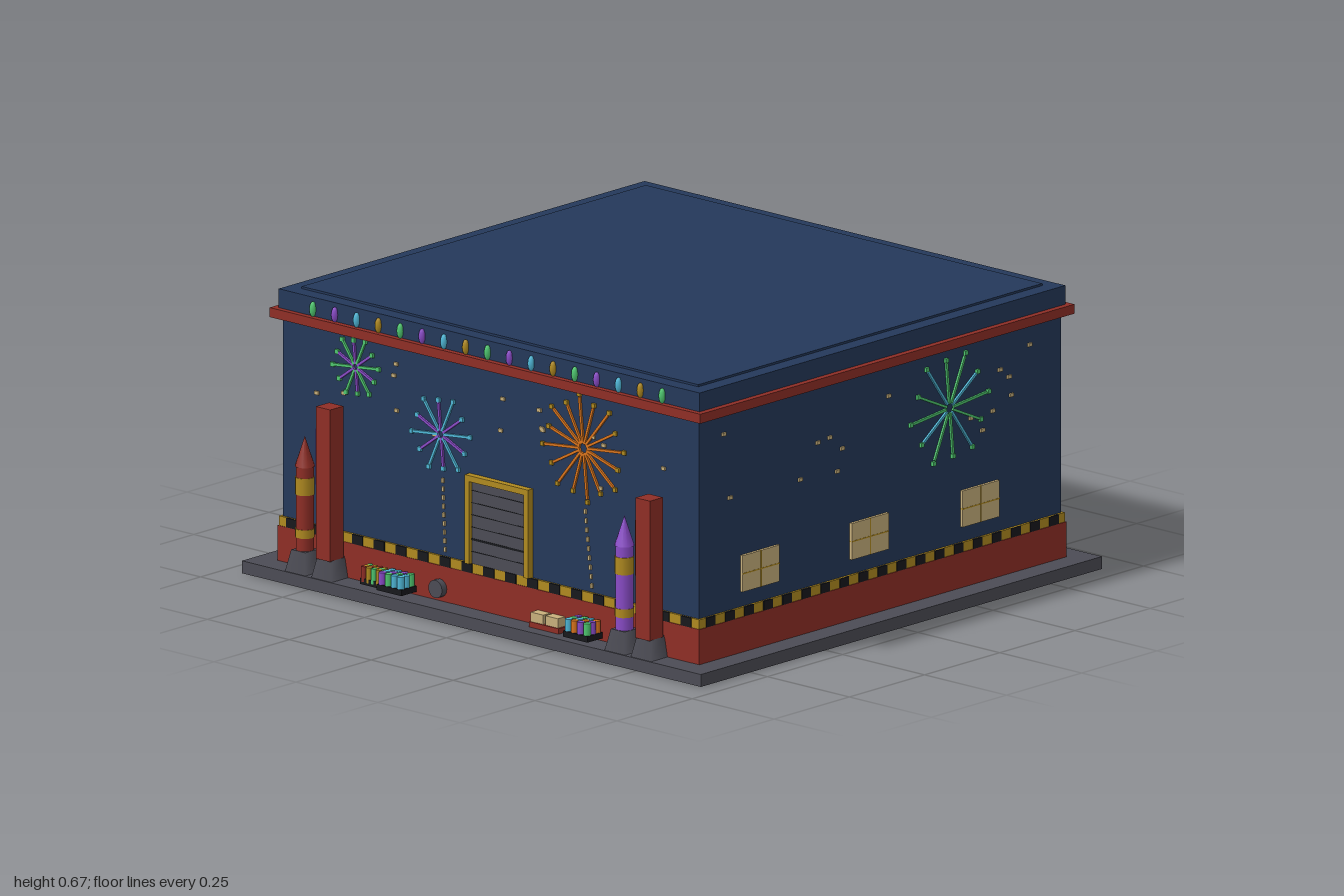
import * as THREE from 'three';

const mat = (name, color) => {
  const m = new THREE.MeshStandardMaterial({ color });
  m.name = name;
  return m;
};
const M = {
  navy: mat('navy', 0x24385a), red: mat('brickRed', 0x8f2e26), grey: mat('slateGrey', 0x4c4c55),
  gold: mat('gold', 0xb08a20), black: mat('black', 0x17181c), cream: mat('cream', 0xc8b07c),
  orange: mat('orange', 0xd9741c), cyan: mat('cyan', 0x4fb8d8), green: mat('green', 0x4fc870),
  purple: mat('purple', 0x8a4cc8),
};

function add(parent, name, geo, material, x, y, z) {
  const mesh = new THREE.Mesh(geo, material);
  mesh.name = name;
  mesh.position.set(x, y, z);
  parent.add(mesh);
  return mesh;
}
const box = (p, name, m, w, h, d, x, y, z) => add(p, name, new THREE.BoxGeometry(w, h, d), m, x, y, z);
// Box given by its bottom and top heights
const tier = (p, name, m, hx, hz, y0, y1) => box(p, name, m, 2 * hx, y1 - y0, 2 * hz, 0, (y0 + y1) / 2, 0);

function group(parent, name) {
  const g = new THREE.Group();
  g.name = name;
  parent.add(g);
  return g;
}

function seeded(seed) {
  let s = seed;
  return () => (s = (s * 16807) % 2147483647) / 2147483647;
}

// Painted starburst: thin rays with a dot at each tip
function burst(wall, x, y, r, colours, tip, rays = 12) {
  const g = group(wall, 'fireworkBurst');
  g.position.set(x, y, 0.003);
  for (let i = 0; i < rays; i++) {
    const a = (i / rays) * Math.PI * 2 + 0.1;
    const len = r * (i % 2 ? 0.88 : 1);
    const ray = box(g, 'burstRay', M[colours[i % colours.length]], len * 0.85, 0.006, 0.005,
      Math.cos(a) * len * 0.52, Math.sin(a) * len * 0.52, 0);
    ray.rotation.z = a;
    box(g, 'burstTip', M[tip], 0.01, 0.01, 0.007, Math.cos(a) * len, Math.sin(a) * len, 0);
  }
}

// Dotted launch trail below a burst
function trail(wall, x0, y0, x1, y1) {
  for (let i = 0; i < 9; i++) {
    const t = i / 8;
    box(wall, 'trailDot', M.cream, 0.006, 0.011, 0.005, x0 + (x1 - x0) * t, y0 + (y1 - y0) * t, 0.002);
  }
}

// Tapered mortar foot
function foot(parent, x) {
  const f = add(parent, 'stand', new THREE.CylinderGeometry(0.03, 0.044, 0.05, 4, 1).rotateY(Math.PI / 4),
    M.grey, x, 0.055, 0.633);
  return f;
}

// Slim rocket with a nose cone and bands
function rocket(parent, x, body, band) {
  const g = group(parent, 'rocket');
  foot(g, x);
  const ring = (name, m, r, y0, y1) =>
    add(g, name, new THREE.CylinderGeometry(r, r, y1 - y0, 12), m, x, (y0 + y1) / 2, 0.632);
  ring('rocketBody', body, 0.021, 0.075, 0.275);
  ring('rocketBand', band, 0.0225, 0.21, 0.25);
  ring('rocketBand', band, 0.0225, 0.11, 0.13);
  add(g, 'noseCone', new THREE.ConeGeometry(0.023, 0.07, 12), body, x, 0.31, 0.632);
}

// Tall launch post with a coloured strip beside it
function post(parent, x, top, strip) {
  const g = group(parent, 'launchPost');
  foot(g, x);
  box(g, 'postBody', M.red, 0.044, top - 0.075, 0.044, x, (top + 0.075) / 2, 0.637);
  box(g, 'postStrip', M[strip], 0.009, 0.13, 0.03, x - 0.025, top - 0.12, 0.637);
  box(g, 'postLabel', M.cream, 0.006, 0.05, 0.02, x - 0.025, 0.24, 0.637);
}

// Low battery of coloured tubes
function battery(parent, x, width, z, depth, colours) {
  const g = group(parent, 'tubeBattery');
  box(g, 'batteryTray', M.black, width, 0.014, depth, x, 0.045, z);
  const n = colours.length, step = width / n;
  for (let i = 0; i < n; i++)
    for (let j = -1; j <= 1; j++)
      add(g, 'batteryTube', new THREE.CylinderGeometry(step * 0.46, step * 0.46, 0.036, 8),
        M[colours[(i + j + n) % n]], x + (i - (n - 1) / 2) * step, 0.062, z + j * depth * 0.32);
}

export function createModel() {
  const model = new THREE.Group();
  model.name = 'fireworksShop';

  // Stacked shell
  tier(model, 'pavingSlab', M.grey, 0.7, 0.667, 0.001, 0.03);
  tier(model, 'floor', M.navy, 0.635, 0.602, 0, 0.02);
  tier(model, 'walls', M.navy, 0.635, 0.602, 0.025, 0.6);
  tier(model, 'plinth', M.red, 0.643, 0.61, 0.03, 0.112);
  tier(model, 'warningBand', M.gold, 0.641, 0.608, 0.112, 0.134);
  tier(model, 'cornice', M.red, 0.657, 0.622, 0.598, 0.62);
  tier(model, 'parapet', M.navy, 0.642, 0.608, 0.62, 0.664);
  tier(model, 'roofCap', M.navy, 0.605, 0.572, 0.66, 0.669);

  // Each wall group has its own x along the wall and z outwards
  const specs = [
    { name: 'frontWall', turn: 0, dist: 0.602, half: 0.635 },
    { name: 'leftWall', turn: Math.PI / 2, dist: 0.635, half: 0.602, windows: [-0.403, -0.04, 0.328] },
    { name: 'backWall', turn: Math.PI, dist: 0.602, half: 0.635, windows: [-0.4, -0.03, 0.34] },
    { name: 'rightWall', turn: -Math.PI / 2, dist: 0.635, half: 0.602, windows: [-0.33, 0.04, 0.41] },
  ];
  const walls = specs.map((s, k) => {
    const w = group(model, s.name);
    w.rotation.y = s.turn;
    w.position.set(Math.sin(s.turn) * s.dist, 0, Math.cos(s.turn) * s.dist);
    // Black dashes on the warning band
    const n = 19, step = (2 * s.half) / n;
    for (let i = 0; i < n; i++)
      box(w, 'warningDash', M.black, step * 0.48, 0.022, 0.006, -s.half + (i + 0.5) * step, 0.123, 0.005);
    // Windows with thin glazing bars
    for (const x of s.windows || []) {
      box(w, 'window', M.cream, 0.123, 0.085, 0.008, x, 0.212, 0.003);
      box(w, 'glazingBar', M.gold, 0.123, 0.003, 0.009, x, 0.212, 0.003);
      box(w, 'glazingBar', M.gold, 0.003, 0.085, 0.009, x, 0.212, 0.003);
    }
    // Scattered stars
    const rnd = seeded(71 + k * 977);
    for (let i = 0; i < 15; i++) {
      const x = (rnd() * 2 - 1) * 0.53, y = 0.37 + rnd() * 0.21;
      box(w, 'star', M.cream, 0.012, 0.008, 0.005, x, y, 0.002);
    }
    return w;
  });
  const [front, left, back, right] = walls;

  // Painted fireworks
  burst(front, -0.41, 0.525, 0.07, ['green', 'purple'], 'green');
  burst(front, -0.15, 0.417, 0.09, ['cyan', 'purple'], 'cyan');
  burst(front, 0.285, 0.467, 0.125, ['orange'], 'gold', 16);
  trail(front, -0.145, 0.31, -0.138, 0.15);
  trail(front, 0.29, 0.32, 0.31, 0.15);
  burst(left, 0.228, 0.455, 0.13, ['green', 'cyan', 'green'], 'green');
  burst(back, -0.207, 0.455, 0.12, ['orange', 'purple'], 'gold');
  burst(right, 0.24, 0.455, 0.12, ['purple'], 'purple');

  // Roller door with frame
  const door = group(front, 'door');
  box(door, 'doorPanel', M.grey, 0.17, 0.2, 0.008, 0.032, 0.235, 0.004);
  for (let i = 1; i < 7; i++)
    box(door, 'doorSlatGap', M.black, 0.17, i === 2 ? 0.005 : 0.002, 0.009, 0.032, 0.135 + i * 0.0285, 0.004);
  for (const x of [-0.058, 0.122]) box(door, 'doorJamb', M.gold, 0.014, 0.207, 0.018, x, 0.2385, 0.008);
  box(door, 'doorLintel', M.gold, 0.194, 0.014, 0.018, 0.032, 0.335, 0.008);

  // Coloured lamps along the parapet
  const lampColours = ['green', 'purple', 'cyan', 'gold'];
  for (let i = 0; i < 17; i++)
    add(model, 'lamp', new THREE.SphereGeometry(0.008, 8, 6).scale(1, 2.3, 1), M[lampColours[i % 4]],
      -0.535 + i * 0.0666, 0.637, 0.611);

  // Rockets and posts either side of the door
  rocket(model, -0.54, M.red, M.gold);
  post(model, -0.46, 0.43, 'purple');
  rocket(model, 0.435, M.purple, M.gold);
  post(model, 0.515, 0.402, 'red');

  // Goods on the paving
  battery(model, -0.325, 0.06, 0.635, 0.03, ['gold', 'red', 'gold', 'green']);
  battery(model, -0.255, 0.075, 0.638, 0.05, ['cyan', 'purple', 'green', 'cyan']);
  battery(model, 0.315, 0.075, 0.64, 0.05, ['green', 'cyan', 'orange', 'purple']);
  add(model, 'wheel', new THREE.CylinderGeometry(0.021, 0.021, 0.016, 16).rotateX(Math.PI / 2),
    M.grey, -0.148, 0.06, 0.618);
  for (const x of [0.17, 0.215]) box(model, 'carton', M.cream, 0.038, 0.022, 0.025, x, 0.054, 0.622);
  box(model, 'cartonShelf', M.red, 0.09, 0.013, 0.028, 0.193, 0.036, 0.622);

  return model;
}
